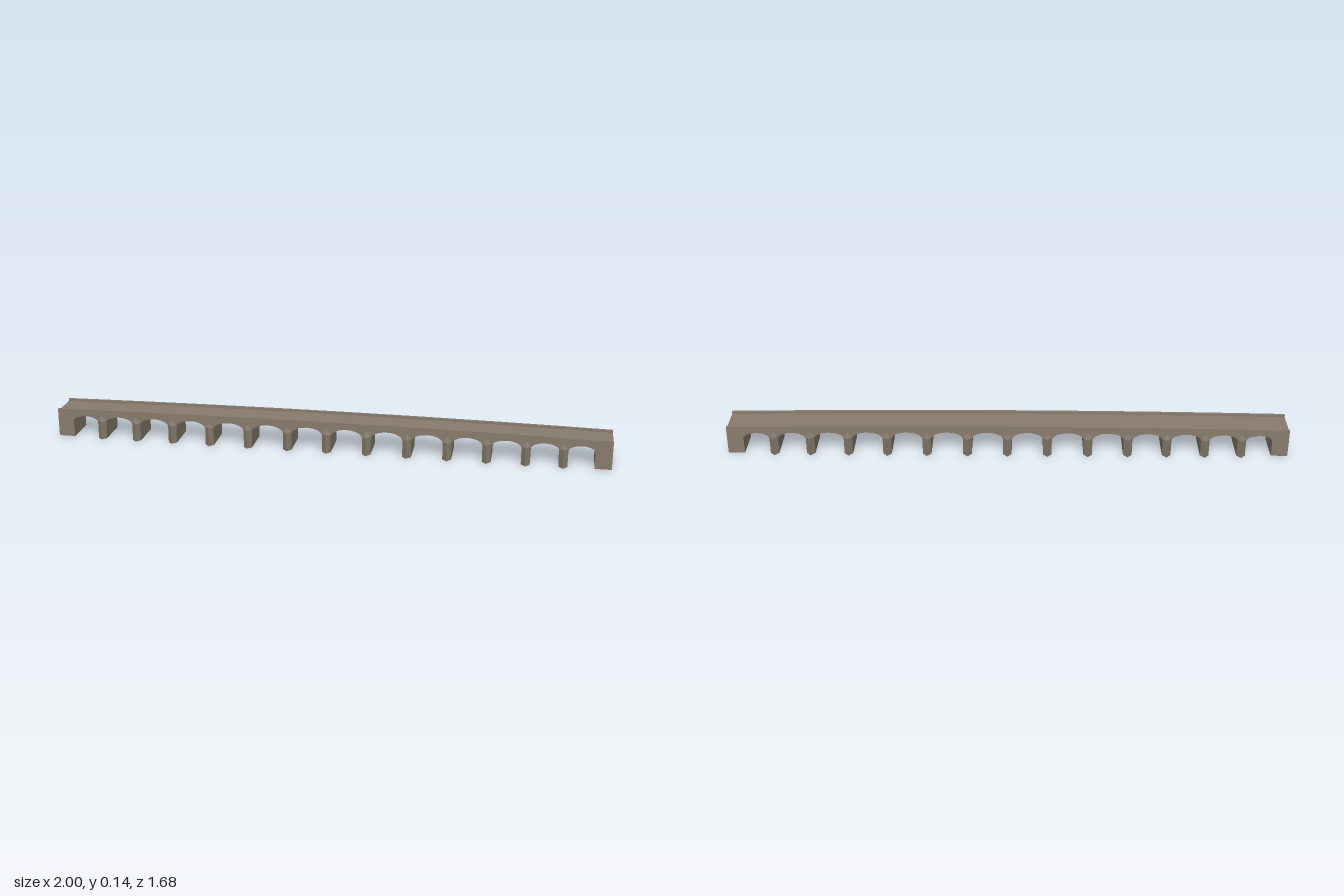
import * as THREE from 'three';

const HALF_LENGTH = 1.2325, HALF_WIDTH = 0.0745, PIER_HALF = 0.019;
const HALF_PIERS = [0.176, 0.354, 0.529, 0.7, 0.867, 1.027];
const PIERS = [...HALF_PIERS.map(s => -s).reverse(), 0, ...HALF_PIERS];
const ABUTMENT = 1.16;   // inner face of the end blocks
const SPRING = 0.073;    // height where the arches start
const PARAPET_WIDTH = 0.011, PARAPET_HEIGHT = 0.011;

// gentle hump of the roadway
const roadY = s => 0.128 - 0.011 * (s / HALF_LENGTH) ** 2;

function extrudeAcross(shape, from, to) {
  const geometry = new THREE.ExtrudeGeometry(shape, { depth: to - from, bevelEnabled: false });
  return geometry.translate(0, 0, from);
}

// stations along the deck, one per bay
const stations = [-HALF_LENGTH, ...PIERS, HALF_LENGTH];

function bodyShape() {
  const shape = new THREE.Shape();
  shape.moveTo(-HALF_LENGTH, 0);
  const edges = [-ABUTMENT, ...PIERS, ABUTMENT];
  for (let i = 0; i < edges.length - 1; i++) {
    const a = edges[i] + (i === 0 ? 0 : PIER_HALF);
    const b = edges[i + 1] - (i === edges.length - 2 ? 0 : PIER_HALF);
    const mid = (a + b) / 2, rx = (b - a) / 2;
    const rise = roadY(mid) - 0.02 - SPRING;
    shape.lineTo(a, 0);
    for (let k = 0; k <= 12; k++) {
      const t = Math.PI * (1 - k / 12);
      shape.lineTo(mid + rx * Math.cos(t), SPRING + rise * Math.sin(t));
    }
    shape.lineTo(b, 0);
  }
  shape.lineTo(HALF_LENGTH, 0);
  [...stations].reverse().forEach(s => shape.lineTo(s, roadY(s)));
  shape.closePath();
  return shape;
}

function parapetShape() {
  const shape = new THREE.Shape();
  stations.forEach((s, i) => shape[i ? 'lineTo' : 'moveTo'](s, roadY(s)));
  [...stations].reverse().forEach(s => shape.lineTo(s, roadY(s) + PARAPET_HEIGHT));
  shape.closePath();
  return shape;
}

// pointed pier nose with a sloping cap leaning on the wall
function cutwaterGeometry() {
  const w = PIER_HALF, d = 0.022, h = 0.083, top = 0.105;
  const L0 = [-w, 0, 0], T0 = [0, 0, d], R0 = [w, 0, 0];
  const L1 = [-w, h, 0], T1 = [0, h, d], R1 = [w, h, 0], apex = [0, top, 0];
  const faces = [
    L0, T0, T1, L0, T1, L1,
    T0, R0, R1, T0, R1, T1,
    L1, T1, apex, T1, R1, apex,
    L0, R0, T0,
  ];
  const geometry = new THREE.BufferGeometry();
  geometry.setAttribute('position', new THREE.Float32BufferAttribute(faces.flat(), 3));
  geometry.computeVertexNormals();
  return geometry;
}

export function createModel() {
  const group = new THREE.Group();
  group.name = 'archBridge';
  const stone = new THREE.MeshStandardMaterial({ color: 0x877c6d });
  stone.name = 'stone';

  const bridge = new THREE.Group();
  bridge.name = 'bridge';
  bridge.rotation.y = -0.6877;   // the bridge lies diagonally
  group.add(bridge);

  const add = (name, geometry) => {
    const mesh = new THREE.Mesh(geometry, stone);
    mesh.name = name;
    bridge.add(mesh);
    return mesh;
  };

  // arches, piers, abutments and roadway in one masonry body
  add('arcade', extrudeAcross(bodyShape(), -HALF_WIDTH, HALF_WIDTH));

  // low walls along both sides
  const wall = parapetShape();
  add('frontParapet', extrudeAcross(wall, HALF_WIDTH - PARAPET_WIDTH, HALF_WIDTH));
  add('backParapet', extrudeAcross(wall, -HALF_WIDTH, -HALF_WIDTH + PARAPET_WIDTH));

  // cutwaters on both sides of every pier
  const nose = cutwaterGeometry();
  for (const s of PIERS) {
    add('frontCutwater', nose).position.set(s, 0, HALF_WIDTH);
    const back = add('backCutwater', nose);
    back.position.set(s, 0, -HALF_WIDTH);
    back.rotation.y = Math.PI;
  }
  return group;
}
